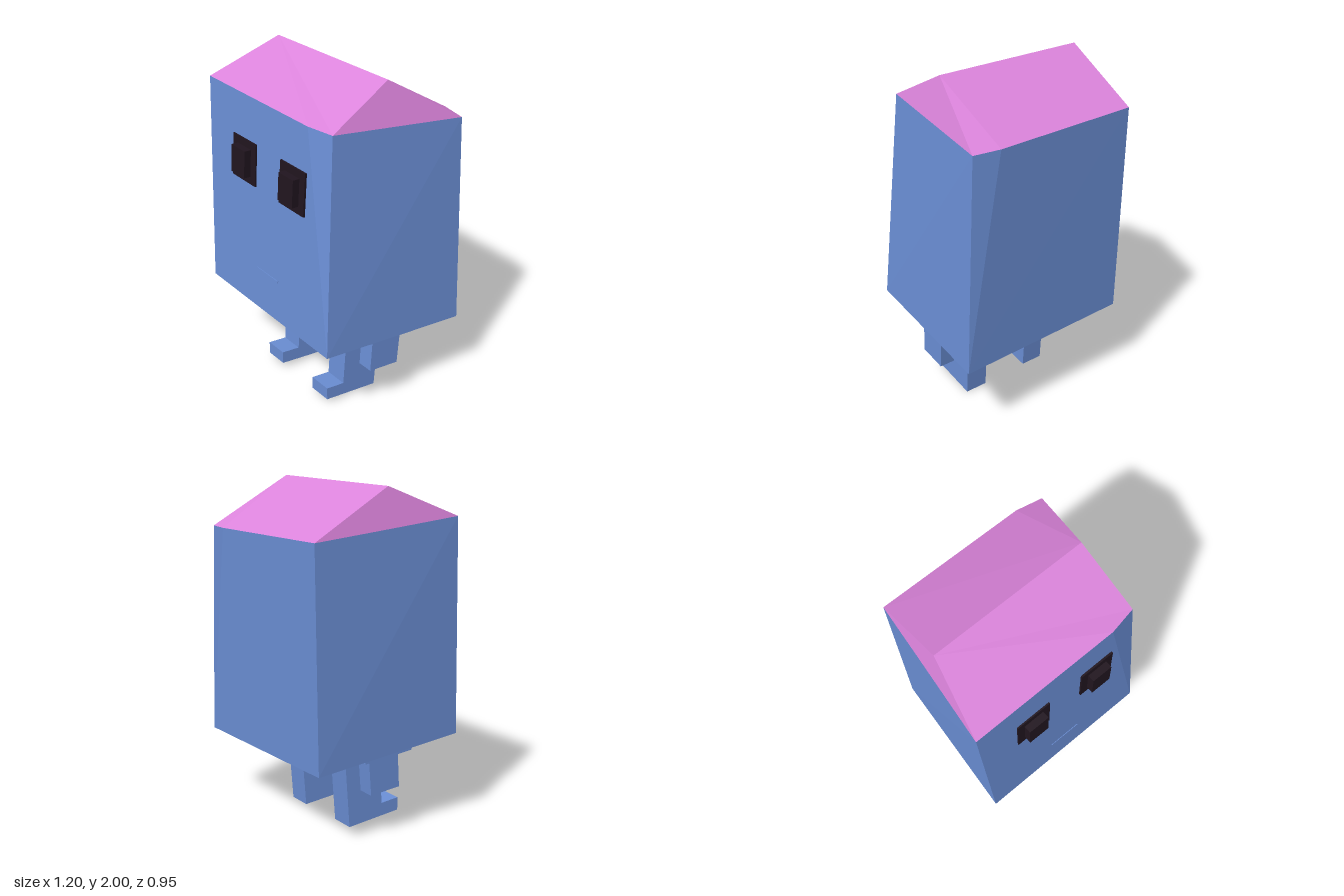
import * as THREE from 'three';

const material = (color) => new THREE.MeshStandardMaterial({ color, flatShading: true, side: THREE.DoubleSide });

// Flat polygons, each a fan of corners in counter-clockwise order seen from outside
function facets(name, polygons, mat) {
  const p = [];
  for (const poly of polygons)
    for (let i = 1; i < poly.length - 1; i++) p.push(...poly[0], ...poly[i], ...poly[i + 1]);
  const g = new THREE.BufferGeometry();
  g.setAttribute('position', new THREE.Float32BufferAttribute(p, 3));
  g.computeVertexNormals();
  const mesh = new THREE.Mesh(g, mat);
  mesh.name = name;
  return mesh;
}

// Side profile in [z, y], given a width along x and skewed with the body's slight turn
function limb(name, profile, width, x, lift, mat) {
  const shape = new THREE.Shape(profile.map(([z, y]) => new THREE.Vector2(-z, y)));
  const g = new THREE.ExtrudeGeometry(shape, { depth: width, bevelEnabled: false });
  g.translate(0, 0, -width / 2).rotateY(Math.PI / 2);
  const pos = g.attributes.position;
  for (let i = 0; i < pos.count; i++) pos.setX(i, pos.getX(i) - 0.085 * pos.getZ(i));
  g.computeVertexNormals();
  const mesh = new THREE.Mesh(g, mat);
  mesh.name = name;
  mesh.position.set(x, lift, 0);
  return mesh;
}

export function createModel() {
  const model = new THREE.Group();
  model.name = 'houseCreature';
  const blue = material(0x6b8fd6), pink = material(0xdc84dc), dark = material(0x21151f);

  // Corners of the leaning body: bottom, eaves, ridge
  const bottomFL = [-0.57, 0.57, 0.47], bottomFR = [0.52, 0.545, 0.465];
  const bottomBR = [0.595, 0.47, -0.455], bottomBL = [-0.495, 0.495, -0.45];
  const eaveFL = [-0.6, 1.825, 0.4], eaveFM = [0.285, 1.805, 0.395], eaveFR = [0.445, 1.8, 0.365];
  const eaveBR = [0.54, 1.72, -0.445], eaveBM = [0.385, 1.725, -0.475], eaveBL = [-0.5, 1.745, -0.475];
  const ridgeL = [-0.51, 2, -0.015], ridgeR = [0.42, 1.995, -0.015];
  const notchBack = [-0.535, 1.773, -0.16], notchFront = [-0.565, 1.797, 0.1], notchMid = [-0.525, 1.93, 0];

  model.add(facets('body', [
    [bottomFR, eaveFR, eaveFM, eaveFL, bottomFL],
    [bottomFR, bottomBR, eaveBR, eaveFR],
    [bottomBR, bottomBL, eaveBL, eaveBM, eaveBR],
    [bottomBL, bottomFL, eaveFL, notchFront, notchBack, eaveBL],
    [bottomFL, bottomBL, bottomBR, bottomFR],
    [ridgeL, notchMid, notchFront],
  ], blue));

  // Gabled roof
  model.add(facets('roof', [
    [ridgeL, eaveFL, eaveFM, eaveFR, ridgeR],
    [ridgeR, eaveBR, eaveBM, eaveBL, ridgeL],
    [ridgeR, eaveFR, eaveBR],
    [ridgeL, eaveBL, notchBack],
    [ridgeL, notchBack, notchFront, notchMid],
    [ridgeL, notchFront, eaveFL],
  ], pink));

  // Eyes: thin square frames with a raised block
  for (const [name, x, y] of [['rightEye', -0.253, 1.44], ['leftEye', 0.182, 1.43]]) {
    const eye = new THREE.Group();
    eye.name = name;
    const plate = new THREE.Mesh(new THREE.BoxGeometry(0.215, 0.25, 0.03), dark);
    plate.name = 'eyeFrame';
    const pupil = new THREE.Mesh(new THREE.BoxGeometry(0.125, 0.16, 0.07), dark);
    pupil.name = 'pupil';
    pupil.position.z = 0.022;
    eye.add(plate, pupil);
    eye.position.set(x, y, 0.413);
    eye.rotation.set(-0.056, 0, -0.02);
    model.add(eye);
  }

  // Mouth, almost flush with the face
  const mouth = new THREE.Mesh(new THREE.BoxGeometry(0.2, 0.012, 0.02), blue);
  mouth.name = 'mouth';
  mouth.position.set(-0.03, 0.81, 0.447);
  mouth.rotation.set(-0.056, 0, -0.02);
  model.add(mouth);

  // Legs with forward toes, short arms and their thin mounting plates
  const leg = [[0.135, 0.56], [-0.1, 0.54], [-0.06, 0], [0.28, 0.03], [0.28, 0.11], [0.165, 0.1]];
  const arm = [[0.11, 0.54], [-0.085, 0.525], [-0.065, 0.27], [0.125, 0.285]];
  const plate = [[0.17, 0.525], [-0.14, 0.5], [-0.14, 0.488], [0.17, 0.513]];
  for (const [side, legX, armX, lift] of [['right', -0.195, -0.42, 0.012], ['left', 0.243, 0.455, 0]]) {
    model.add(limb(side + 'Leg', leg, 0.14, legX, lift, blue));
    model.add(limb(side + 'Arm', arm, 0.095, armX, lift, blue));
    model.add(limb(side + 'ArmPlate', plate, 0.19, armX, lift, blue));
  }
  return model;
}
